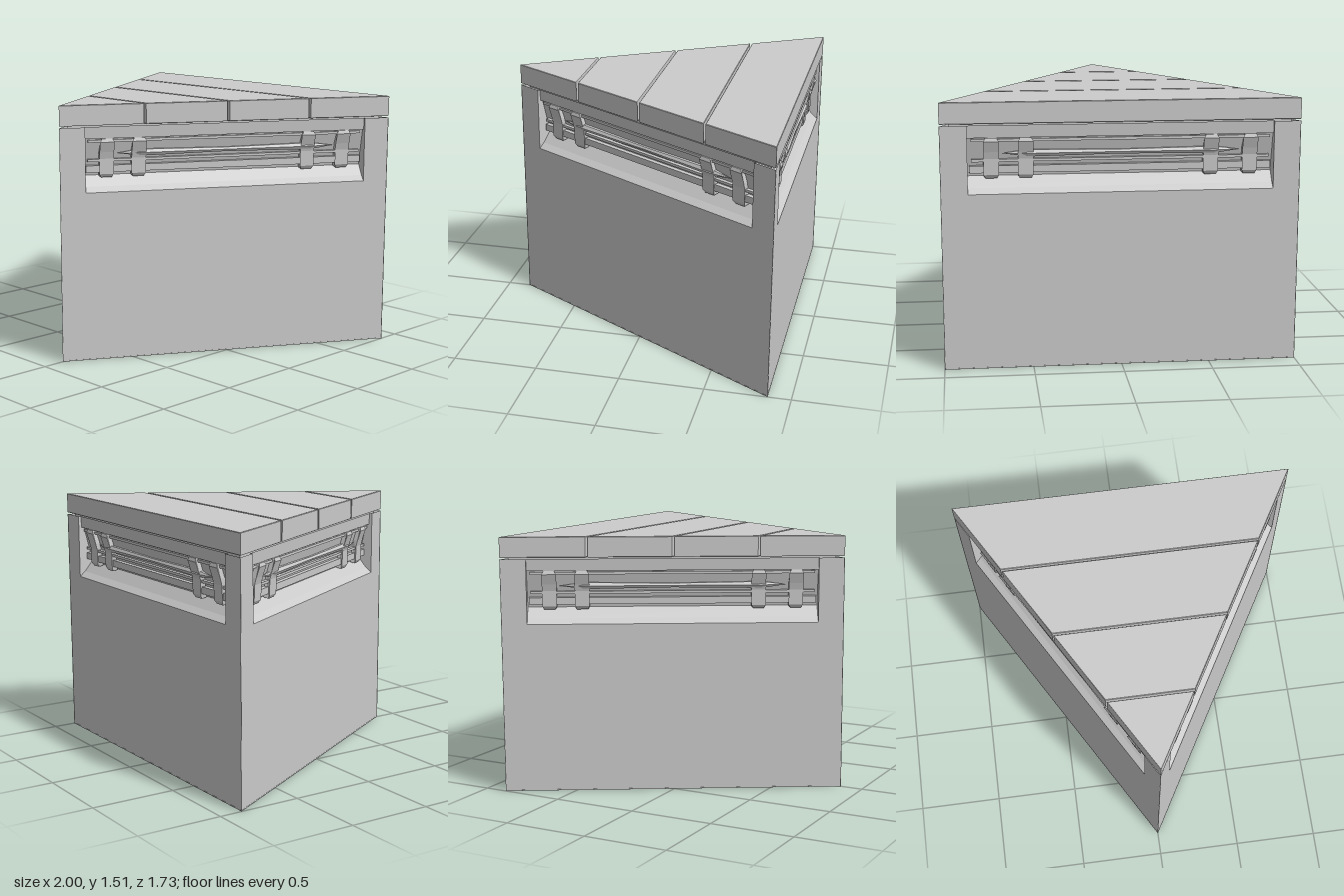
import * as THREE from 'three';

const H = Math.sqrt(3);          // depth of the triangular plan
const APOTHEM = 1 / H;           // centre of the triangle to each side
const CENTRE_Z = -H / 2 + APOTHEM;
const BODY_TOP = 1.38;
const RECESS = 0.85;             // half length of each side recess

const mat = new THREE.MeshStandardMaterial({ color: 0xcccccc, flatShading: true, side: THREE.DoubleSide });

function add(parent, geometry, name, x = 0, y = 0, z = 0) {
  const mesh = new THREE.Mesh(geometry, mat);
  mesh.name = name;
  mesh.position.set(x, y, z);
  parent.add(mesh);
  return mesh;
}

function shapeOf(points) {
  return new THREE.Shape(points.map(([x, y]) => new THREE.Vector2(x, y)));
}

// Flat plan outline (x, z) extruded upwards
function slab(points, height, bevel = 0) {
  const g = new THREE.ExtrudeGeometry(shapeOf(points.map(([x, z]) => [x, -z])), {
    depth: height - 2 * bevel, bevelEnabled: bevel > 0, bevelThickness: bevel,
    bevelSize: bevel, bevelOffset: -bevel, bevelSegments: 1,
  });
  return g.rotateX(-Math.PI / 2).translate(0, bevel, 0);
}

// Profile of [depth, y] points extruded along the side, centred on x = 0
function bar(profile, length) {
  const g = new THREE.ExtrudeGeometry(shapeOf(profile), { depth: length, bevelEnabled: false });
  return g.translate(0, 0, -length / 2).rotateY(Math.PI / 2);
}

// Open strip of [depth, y] points swept along the side
function sweptStrip(profile, half) {
  const pos = [], idx = [];
  profile.forEach(([d, y], i) => {
    pos.push(-half, y, -d, half, y, -d);
    if (i) {
      const a = 2 * i - 2;
      idx.push(a, a + 1, a + 3, a, a + 3, a + 2);
    }
  });
  const g = new THREE.BufferGeometry();
  g.setAttribute('position', new THREE.Float32BufferAttribute(pos, 3));
  g.setIndex(idx);
  g.computeVertexNormals();
  return g;
}

// One face of the body; local z = 0 is the outer surface, -z goes inwards
function createSide() {
  const side = new THREE.Group();
  side.name = 'side';

  add(side, new THREE.ShapeGeometry(shapeOf([
    [-1, 0], [1, 0], [1, BODY_TOP], [RECESS, BODY_TOP], [RECESS, 1],
    [-RECESS, 1], [-RECESS, BODY_TOP], [-1, BODY_TOP],
  ])), 'sidePanel');

  // Sloping sill, leaning back wall and header
  const profile = [[0, 1], [0.035, 1.03], [0.085, 1.09], [0.075, 1.15], [0.05, 1.25], [0.035, 1.31], [0.02, 1.31], [0.015, BODY_TOP]];
  add(side, sweptStrip(profile, RECESS), 'recess');
  for (const s of [-1, 1]) {
    const end = new THREE.ShapeGeometry(shapeOf([...profile.map(([d, y]) => [-d, y]), [0, BODY_TOP]]));
    add(side, end.rotateY(-Math.PI / 2), 'recessEnd', s * RECESS);
  }

  // Horizontal rails
  add(side, new THREE.BoxGeometry(1.68, 0.04, 0.03), 'lowerRail', 0, 1.13, -0.062);
  add(side, new THREE.BoxGeometry(1.66, 0.015, 0.03), 'middleRail', 0, 1.18, -0.058);
  add(side, new THREE.BoxGeometry(1.66, 0.015, 0.02), 'upperRail', 0, 1.295, -0.035);

  // Long pointed rod held by the brackets
  const rod = new THREE.LatheGeometry(
    [[0, -0.66], [0.022, -0.52], [0.014, 0], [0.022, 0.52], [0, 0.66]].map(([r, y]) => new THREE.Vector2(r, y)), 6);
  add(side, rod.rotateZ(Math.PI / 2), 'rod', 0, 1.22, -0.045);

  // Bent brackets in two mirrored pairs
  const bracket = [[-0.075, 1.09], [-0.05, 1.08], [-0.038, 1.1], [-0.036, 1.19], [-0.026, 1.23], [-0.006, 1.29], [-0.012, 1.31], [-0.045, 1.31], [-0.06, 1.23]];
  for (const s of [-0.72, -0.53, 0.5, 0.72]) {
    const g = bar(bracket.map(([d, y]) => [-d, y]), 0.085);
    // waist slightly narrower than the ends
    const p = g.attributes.position;
    for (let i = 0; i < p.count; i++) {
      if (p.getY(i) > 1.085 && p.getY(i) < 1.3) continue;
      p.setX(i, p.getX(i) * 0.75);
    }
    // profile depth runs towards -z after the turn
    add(side, g, 'bracket', s);
  }
  return side;
}

export function createModel() {
  const model = new THREE.Group();
  model.name = 'triangularPlatform';

  // Three equal sides around the centre of the triangle
  for (let i = 0; i < 3; i++) {
    const turn = new THREE.Group();
    turn.name = 'bodySide';
    turn.position.z = CENTRE_Z;
    turn.rotation.y = Math.PI + i * 2 * Math.PI / 3;
    const side = createSide();
    side.position.z = APOTHEM - 0.001;
    turn.add(side);
    model.add(turn);
  }

  // Bottom and inner top of the body
  add(model, slab([[-1, -H / 2], [0, H / 2], [1, -H / 2]], 0.006), 'base');
  const k = 0.95;
  const inner = [[-1, -H / 2], [0, H / 2], [1, -H / 2]].map(([x, z]) => [x * k, (z - CENTRE_Z) * k + CENTRE_Z]);
  add(model, slab(inner, 0.02), 'bodyLid', 0, BODY_TOP - 0.01);

  // Four deck planks cut to the triangle
  const gap = 0.006;
  const halfAt = (z) => (H / 2 - z) / H;
  for (let i = 0; i < 4; i++) {
    const z0 = -H / 2 + i * H / 4 + (i ? gap : 0);
    const z1 = -H / 2 + (i + 1) * H / 4 - (i < 3 ? gap : 0);
    const a = halfAt(z0), b = halfAt(z1);
    const outline = i < 3 ? [[-a, z0], [-b, z1], [b, z1], [a, z0]] : [[-a, z0], [0, z1], [a, z0]];
    add(model, slab(outline, 0.12, 0.003), 'deckPlank', 0, 1.39);
  }
  return model;
}
